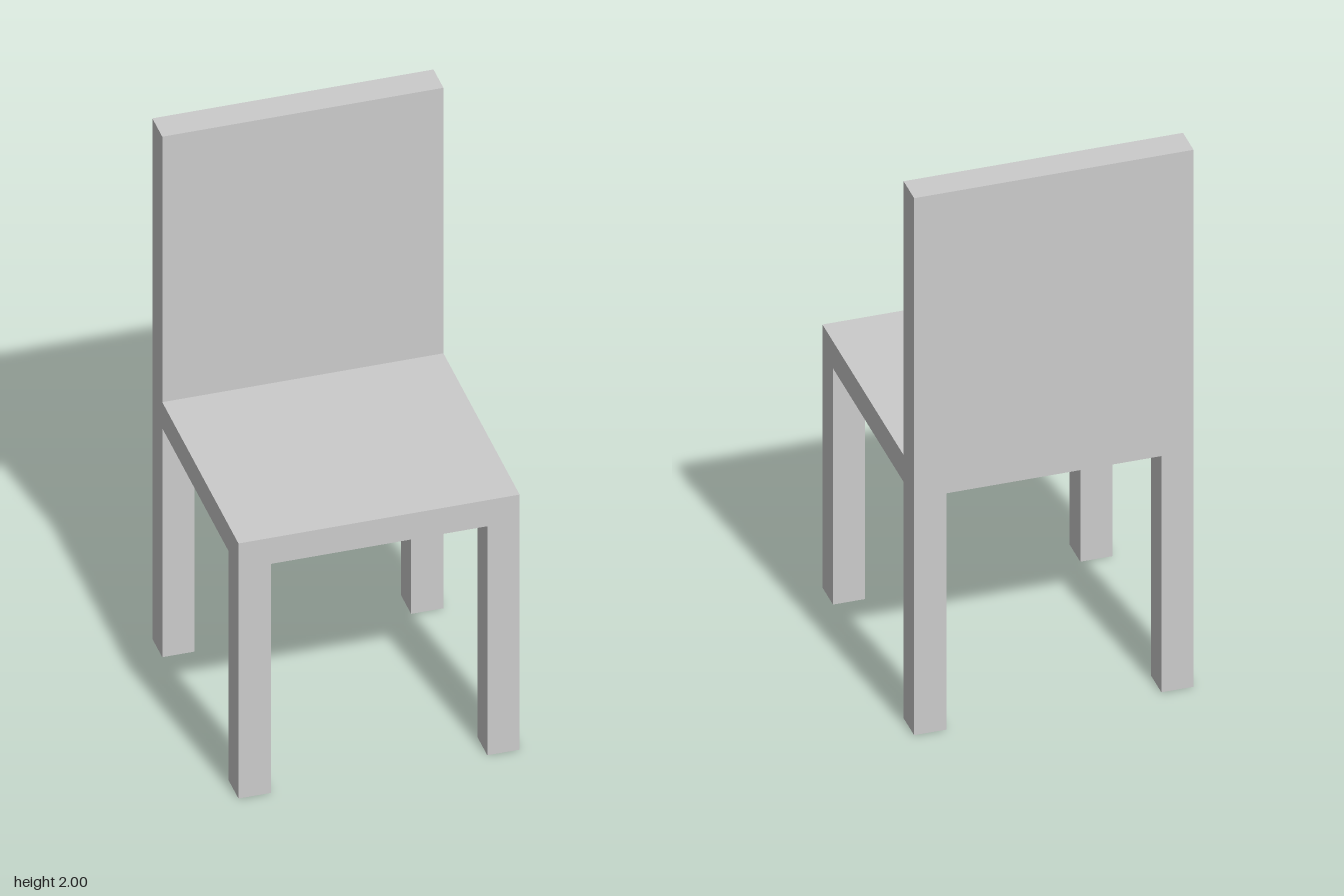
import * as THREE from 'three';

const WIDTH = 0.93;        // overall width and depth
const POST = 0.107;        // leg and backrest thickness
const SEAT_BOTTOM = 0.88;
const SEAT_TOP = 0.98;
const HEIGHT = 2;

export function createModel() {
  const chair = new THREE.Group();
  chair.name = 'chair';
  const material = new THREE.MeshStandardMaterial({ color: 0xcccccc, flatShading: true });

  // Box resting on y = bottom, centred on x and z
  function addBox(name, w, d, bottom, top, x, z) {
    const mesh = new THREE.Mesh(new THREE.BoxGeometry(w, top - bottom, d), material);
    mesh.name = name;
    mesh.position.set(x, (bottom + top) / 2, z);
    chair.add(mesh);
  }

  // Four square legs, flush with the seat corners
  const offset = (WIDTH - POST) / 2;
  for (const [side, sx] of [['Left', 1], ['Right', -1]]) {
    for (const [end, sz] of [['front', 1], ['back', -1]]) {
      addBox(`${end}${side}Leg`, POST, POST, 0, SEAT_BOTTOM, sx * offset, sz * offset);
    }
  }

  // Seat slab in front of the backrest
  addBox('seat', WIDTH, WIDTH - POST, SEAT_BOTTOM, SEAT_TOP, 0, POST / 2);

  // Solid backrest standing on the back legs
  addBox('backrest', WIDTH, POST, SEAT_BOTTOM, HEIGHT, 0, -offset);

  return chair;
}
